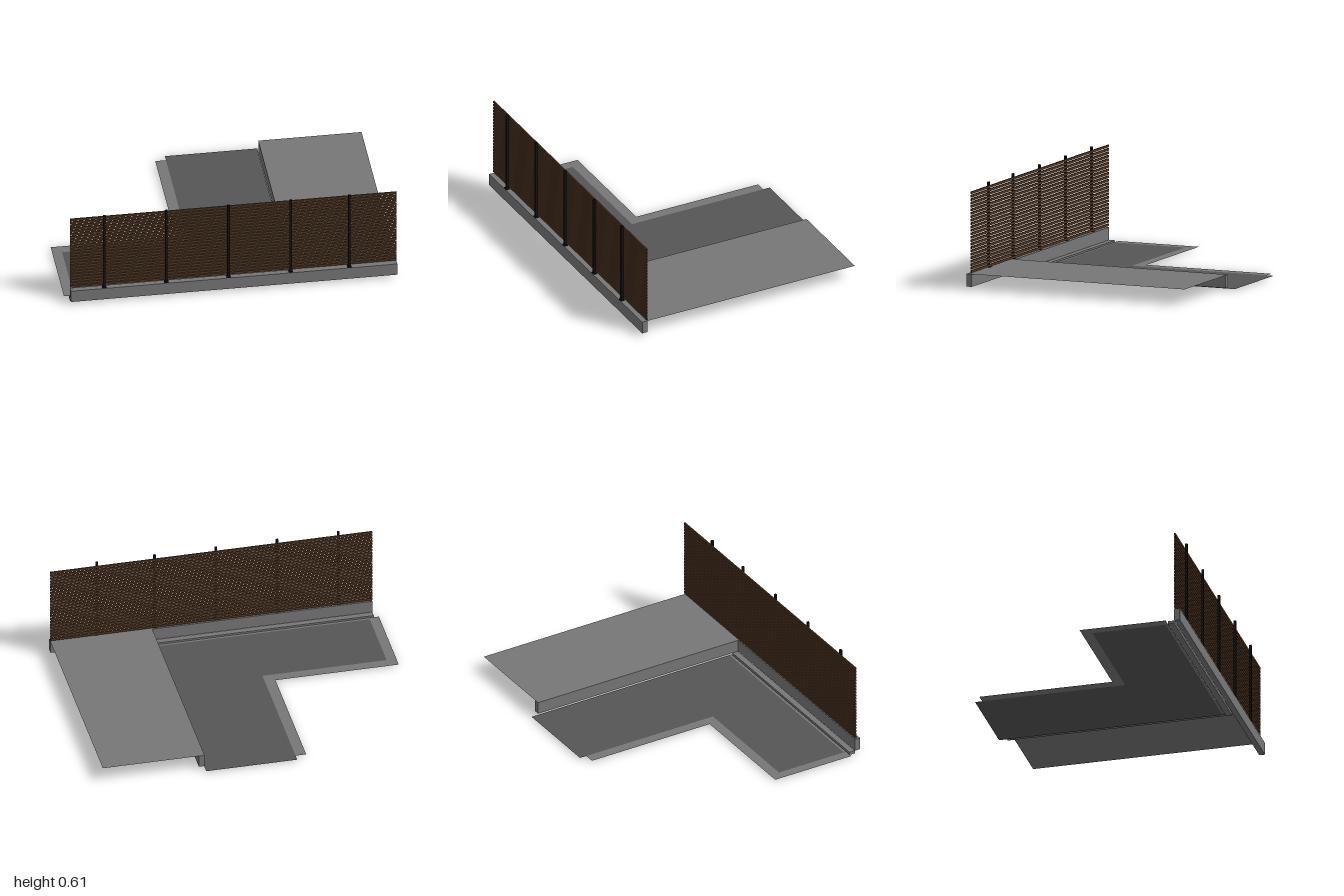
import * as THREE from 'three';

const concrete = new THREE.MeshStandardMaterial({ color: 0x777777, side: THREE.DoubleSide });
const asphalt = new THREE.MeshStandardMaterial({ color: 0x555555, side: THREE.DoubleSide });
const wood = new THREE.MeshStandardMaterial({ color: 0x4f3623 });
const steel = new THREE.MeshStandardMaterial({ color: 0x111111 });

// Box given by its min and max on each axis
function box(name, [x0, x1], [y0, y1], [z0, z1], material) {
  const mesh = new THREE.Mesh(new THREE.BoxGeometry(x1 - x0, y1 - y0, z1 - z0), material);
  mesh.position.set((x0 + x1) / 2, (y0 + y1) / 2, (z0 + z1) / 2);
  mesh.name = name;
  return mesh;
}

// Flat horizontal sheet from [x, z] outline points
function sheet(name, outline, y, material) {
  const shape = new THREE.Shape(outline.map(([x, z]) => new THREE.Vector2(x, -z)));
  const mesh = new THREE.Mesh(new THREE.ShapeGeometry(shape).rotateX(-Math.PI / 2), material);
  mesh.position.y = y;
  mesh.name = name;
  return mesh;
}

export function createModel() {
  const model = new THREE.Group();
  model.name = 'terraceWithFence';
  const wallBottom = 0.018, wallTop = 0.095, groundY = 0.01;

  // Lower L-shaped ground and the border that wraps its outer edges
  model.add(sheet('lowerPaving', [
    [-0.94, 0.19], [-0.18, 0.19], [-0.18, -0.738], [0.377, -0.738], [0.377, 0.642], [-0.94, 0.642],
  ], groundY, asphalt));
  model.add(sheet('pavingBorder', [
    [-1, 0.127], [-0.245, 0.127], [-0.245, -0.694], [-0.18, -0.694], [-0.18, 0.19], [-0.94, 0.19],
    [-0.94, 0.642], [0.377, 0.642], [0.377, 0.658], [-1, 0.658],
  ], groundY, concrete));

  // Raised platform sheet
  model.add(sheet('upperPlatform', [
    [0.377, -0.694], [1, -0.694], [1, 0.704], [0.377, 0.704],
  ], wallTop, concrete));

  // Retaining walls and footing
  model.add(box('frontWall', [-0.97, 1], [wallBottom, wallTop], [0.703, 0.738], concrete));
  model.add(box('sideWall', [0.377, 0.412], [wallBottom, wallTop - 0.0005], [-0.693, 0.703], concrete));
  model.add(box('footing', [-0.97, 0.377], [0, wallBottom], [0.664, 0.702], concrete));

  // Horizontal fence slats
  const fence = new THREE.Group();
  fence.name = 'fence';
  const count = 24, pitch = 0.0207, slatHeight = 0.0145;
  for (let i = 0; i < count; i++) {
    const y = 0.103 + i * pitch;
    fence.add(box('slat', [-0.97, 1], [y, y + slatHeight], [0.703, 0.711], wood));
  }

  // Posts on base plates
  for (const x of [-0.767, -0.392, -0.017, 0.358, 0.712]) {
    fence.add(box('post', [x - 0.007, x + 0.007], [wallTop, 0.61], [0.718, 0.732], steel));
    fence.add(box('postBase', [x - 0.012, x + 0.012], [wallTop, 0.102], [0.712, 0.737], steel));
  }
  model.add(fence);
  return model;
}
